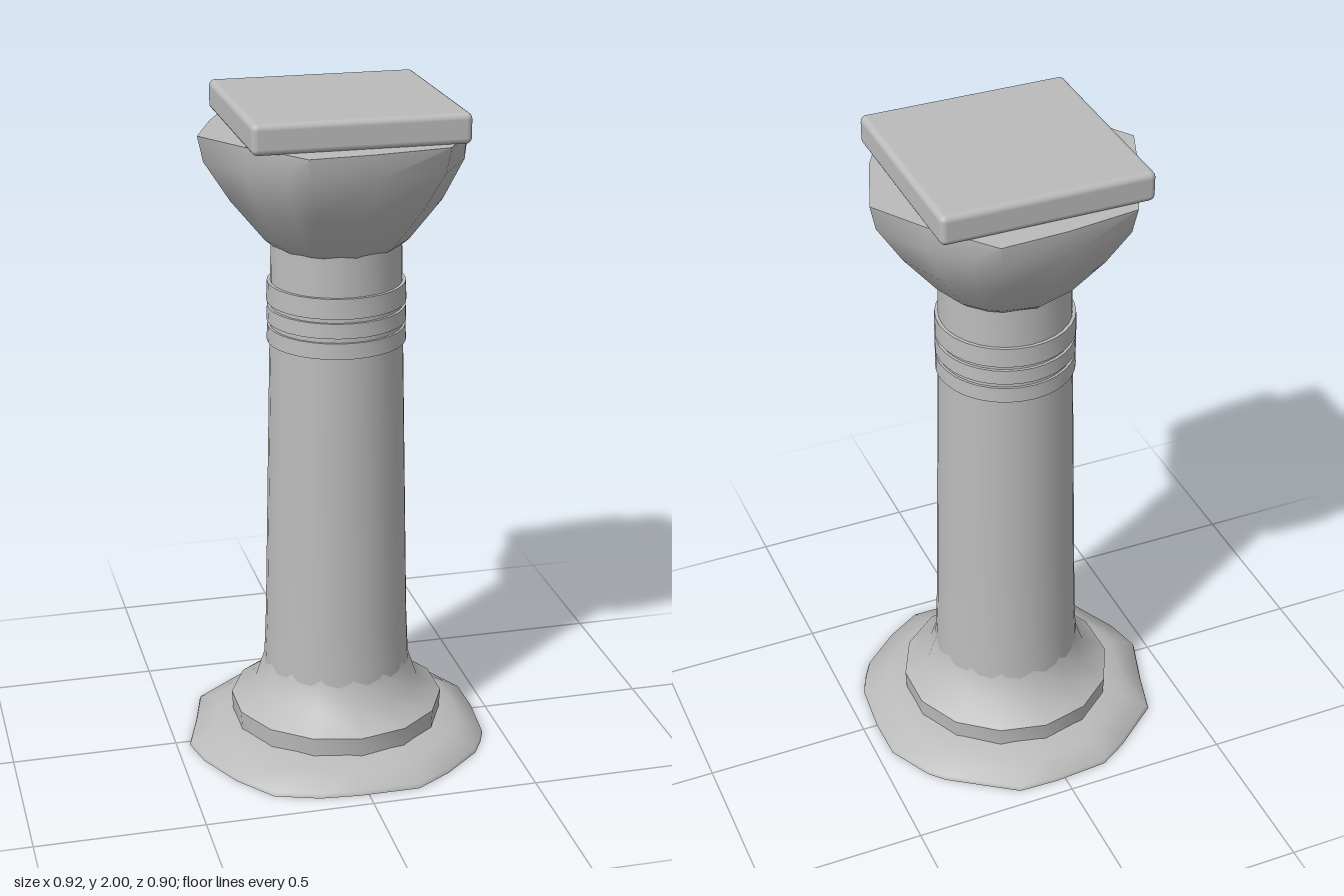
import * as THREE from 'three';
import { toCreasedNormals } from 'three/addons/utils/BufferGeometryUtils.js';
import { RoundedBoxGeometry } from 'three/addons/geometries/RoundedBoxGeometry.js';

const CX = 0.01; // column axis

// Skin through rings of [x, y, z] points (counter-clockwise from above), closed at both ends
function loft(rings, crease) {
  const n = rings[0].length, pos = [], idx = [];
  rings.forEach(r => r.forEach(p => pos.push(...p)));
  for (let k = 0; k < rings.length - 1; k++) {
    for (let i = 0; i < n; i++) {
      const a = k * n + i, b = k * n + (i + 1) % n;
      idx.push(a, b, b + n, a, b + n, a + n);
    }
  }
  const last = rings.length - 1;
  const bottom = pos.length / 3;
  pos.push(CX, rings[0][0][1], 0, CX, rings[last][0][1], 0);
  for (let i = 0; i < n; i++) {
    const j = (i + 1) % n;
    idx.push(bottom, j, i, bottom + 1, last * n + i, last * n + j);
  }
  const g = new THREE.BufferGeometry();
  g.setAttribute('position', new THREE.Float32BufferAttribute(pos, 3));
  g.setIndex(idx);
  return toCreasedNormals(g, crease);
}

// Ring blended between a circle of radius r (t = 0) and an irregular outline (t = 1)
function ring(outline, y, r, t) {
  return outline.map(([x, z]) => {
    const a = Math.atan2(z, x - CX);
    return [
      THREE.MathUtils.lerp(CX + r * Math.cos(a), x, t), y,
      THREE.MathUtils.lerp(r * Math.sin(a), z, t),
    ];
  });
}

function lathe(profile, sides, crease) {
  const points = profile.map(([r, y]) => new THREE.Vector2(r, y));
  return toCreasedNormals(new THREE.LatheGeometry(points, sides), crease);
}

export function createModel() {
  const model = new THREE.Group();
  model.name = 'column';
  const stone = new THREE.MeshStandardMaterial({ color: 0xbbbbbb });
  stone.name = 'grey stone';
  const add = (name, geometry, x = 0, y = 0) => {
    const mesh = new THREE.Mesh(geometry, stone);
    mesh.name = name;
    mesh.position.set(x, y, 0);
    model.add(mesh);
  };

  // Uneven foot spreading over the ground
  const foot = [
    [-0.46, 0.02], [-0.435, 0.13], [-0.365, 0.275], [-0.275, 0.39], [-0.145, 0.435],
    [-0.03, 0.447], [0.155, 0.447], [0.265, 0.38], [0.38, 0.28], [0.415, 0.22],
    [0.44, 0.16], [0.455, 0], [0.452, -0.135], [0.385, -0.265], [0.345, -0.31],
    [0.15, -0.445], [0.03, -0.45], [-0.14, -0.437], [-0.225, -0.385],
    [-0.375, -0.265], [-0.41, -0.135],
  ];
  add('foot', loft([
    ring(foot, 0, 0.32, 1), ring(foot, 0.012, 0.32, 0.97),
    ring(foot, 0.045, 0.32, 0.45), ring(foot, 0.065, 0.31, 0),
  ], 0.9));

  // Faceted plinth and the flare above it
  add('plinth', lathe([
    [0.32, 0.03], [0.325, 0.12], [0.25, 0.175], [0.222, 0.26], [0.21, 0.3],
  ], 14, 0.75), CX);

  // Tapering shaft
  add('shaft', lathe([[0.224, 0.22], [0.216, 0.4], [0.205, 0.9], [0.194, 1.4], [0.19, 1.62]], 32, 0.6), CX);

  // Three shallow neck bands
  for (const [low, high] of [[1.28, 1.327], [1.342, 1.386], [1.4, 1.46]]) {
    add('neckBand', lathe([
      [0.185, low], [0.205, low], [0.203, high], [0.185, high],
    ], 32, 0.6), CX);
  }

  // Roughly six-cornered capital growing from the round shaft
  const capital = [
    [-0.4, 0.04], [-0.3, 0.2], [-0.21, 0.31], [-0.16, 0.38], [0.03, 0.37],
    [0.25, 0.34], [0.34, 0.18], [0.42, -0.04], [0.32, -0.2], [0.24, -0.3],
    [0.18, -0.375], [-0.02, -0.365], [-0.235, -0.335], [-0.33, -0.14],
  ];
  add('capital', loft([
    ring(capital, 1.57, 0.185, 0), ring(capital, 1.595, 0.21, 0.03),
    ring(capital, 1.72, 0.295, 0.2), ring(capital, 1.84, 0.365, 0.65),
    ring(capital, 1.915, 0.39, 1),
  ], 0.9));

  // Square slab on top
  add('topSlab', new RoundedBoxGeometry(0.62, 0.088, 0.62, 3, 0.018), CX, 1.956);

  return model;
}
